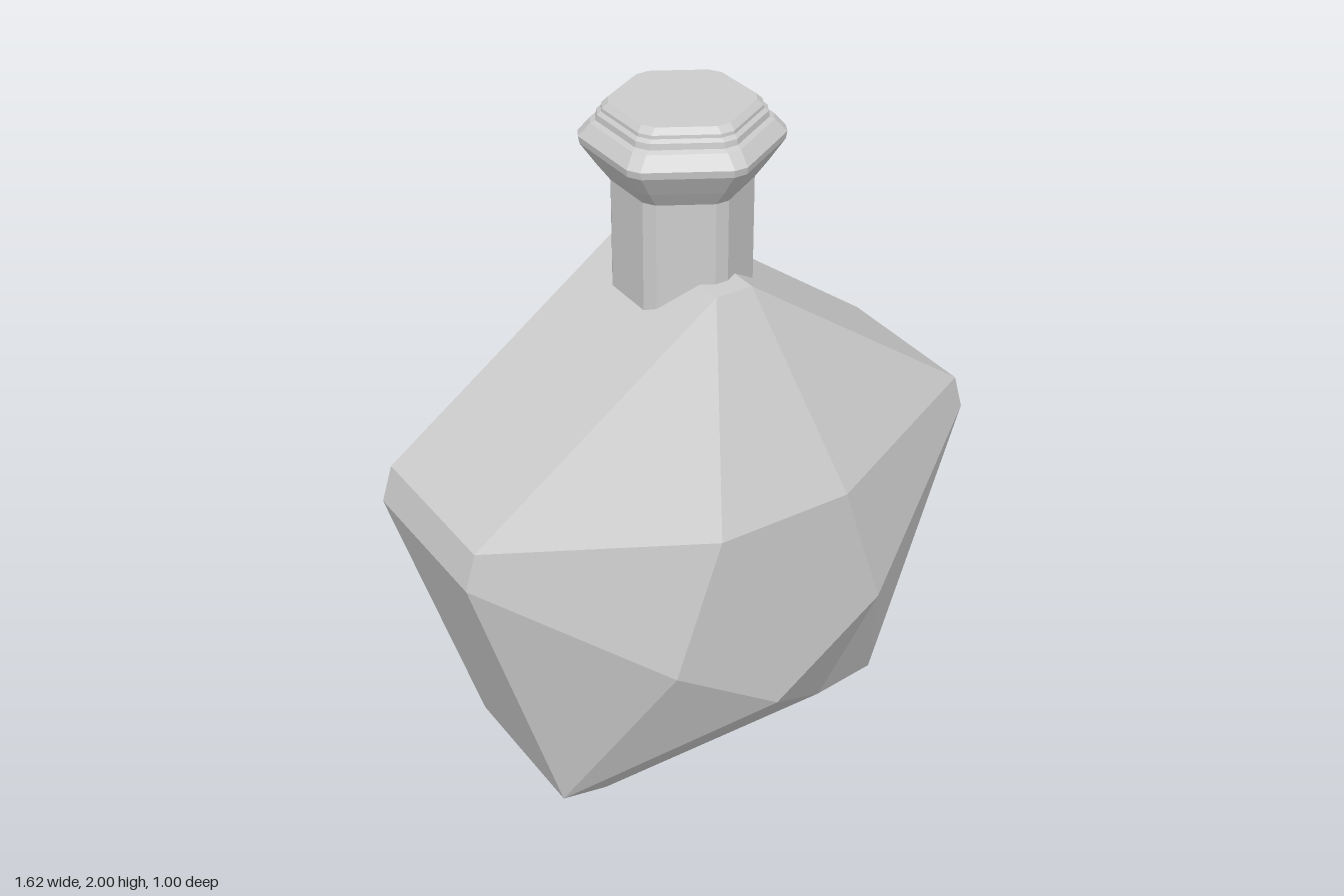
import * as THREE from 'three';

const material = new THREE.MeshStandardMaterial({ color: 0xcccccc, flatShading: true });

// Mesh from flat convex polygons, each a counter-clockwise list of [x, y, z]
function polygonMesh(name, polygons) {
  const positions = [];
  for (const p of polygons) {
    for (let i = 1; i < p.length - 1; i++) positions.push(...p[0], ...p[i], ...p[i + 1]);
  }
  const geometry = new THREE.BufferGeometry();
  geometry.setAttribute('position', new THREE.Float32BufferAttribute(positions, 3));
  geometry.computeVertexNormals();
  const mesh = new THREE.Mesh(geometry, material);
  mesh.name = name;
  return mesh;
}

// Quads joining two rings with the same number of points
function bridge(a, b) {
  return a.map((p, i) => {
    const j = (i + 1) % a.length;
    return [p, a[j], b[j], b[i]];
  });
}

// Faceted pentagonal body with bevelled corners
function createBody() {
  // Rim: two points per corner, counter-clockwise from the top, [x, y, half depth]
  const rim = [
    [0.055, 1.555, 0.232], [-0.055, 1.555, 0.232],
    [-0.78, 1.03, 0.232], [-0.81, 0.925, 0.235],
    [-0.54, 0.065, 0.23], [-0.38, 0, 0.195],
    [0.38, 0, 0.195], [0.54, 0.065, 0.23],
    [0.81, 0.925, 0.235], [0.78, 1.03, 0.232],
  ];
  // Flat pentagon in the middle of each face
  const center = [[-0.2, 1, 0.494], [-0.335, 0.6, 0.494], [0, 0.365, 0.494], [0.335, 0.6, 0.494], [0.2, 1, 0.494]];
  const flip = ([x, y, z]) => [x, y, -z];

  const front = [center];
  for (let k = 0; k < 5; k++) {
    const a = rim[2 * k], b = rim[2 * k + 1], next = rim[(2 * k + 2) % 10];
    const previousCenter = center[(k + 4) % 5];
    front.push([a, b, center[k]], [a, center[k], previousCenter]); // corner facet
    front.push([b, next, center[k]]); // edge facet
  }
  const back = front.map((p) => p.map(flip).reverse());

  // Side band, with the underside left for the recess
  const sides = [];
  for (let i = 0; i < 10; i++) {
    const a = rim[i], b = rim[(i + 1) % 10];
    if (i !== 5) sides.push([b, a, flip(a), flip(b)]);
  }

  // Recessed underside
  const rectangle = (x, y, z) => [[x, y, z], [-x, y, z], [-x, y, -z], [x, y, -z]];
  const foot = rectangle(0.38, 0, 0.195);
  const lip = rectangle(0.3, 0, 0.14);
  const floor = rectangle(0.22, 0.05, 0.075);
  const underside = [...bridge(foot, lip), ...bridge(lip, floor), floor];

  const body = polygonMesh('body', [...front, ...back, ...sides, ...underside]);
  // Slight lean about the middle of the body
  body.geometry.translate(0, -0.65, 0).rotateX(0.018).translate(0, 0.653, 0);
  return body;
}

// Hexagon with trimmed corners, given the distance to its flat sides
function hexRing(apothem, y) {
  const ring = [];
  const radius = apothem / Math.cos(Math.PI / 6);
  const trim = 0.022;
  for (let i = 0; i < 6; i++) {
    const angle = Math.PI / 2 - (i * Math.PI) / 3;
    const cx = Math.cos(angle) * radius, cz = Math.sin(angle) * radius;
    for (const turn of [Math.PI * 2 / 3, -Math.PI * 2 / 3]) {
      ring.push([cx + Math.cos(angle + turn) * trim, y, cz + Math.sin(angle + turn) * trim]);
    }
  }
  return ring;
}

// Stack of hexagonal rings, closed at both ends
function hexStack(name, profile) {
  const rings = profile.map(([r, y]) => hexRing(r, y));
  const faces = [];
  for (let i = 0; i < rings.length - 1; i++) faces.push(...bridge(rings[i], rings[i + 1]));
  faces.push([...rings[0]].reverse(), rings[rings.length - 1]);
  const mesh = polygonMesh(name, faces);
  mesh.position.z = 0.006;
  return mesh;
}

export function createModel() {
  const bottle = new THREE.Group();
  bottle.name = 'bottle';
  bottle.add(createBody());
  bottle.add(hexStack('neck', [[0.17, 1.38], [0.17, 1.79]]));
  bottle.add(hexStack('stopper', [
    [0.17, 1.785], [0.2, 1.83], [0.237, 1.89], [0.24, 1.91], [0.212, 1.945],
    [0.2, 1.952], [0.198, 1.968], [0.188, 1.976], [0.187, 1.985], [0.172, 2],
  ]));
  return bottle;
}
